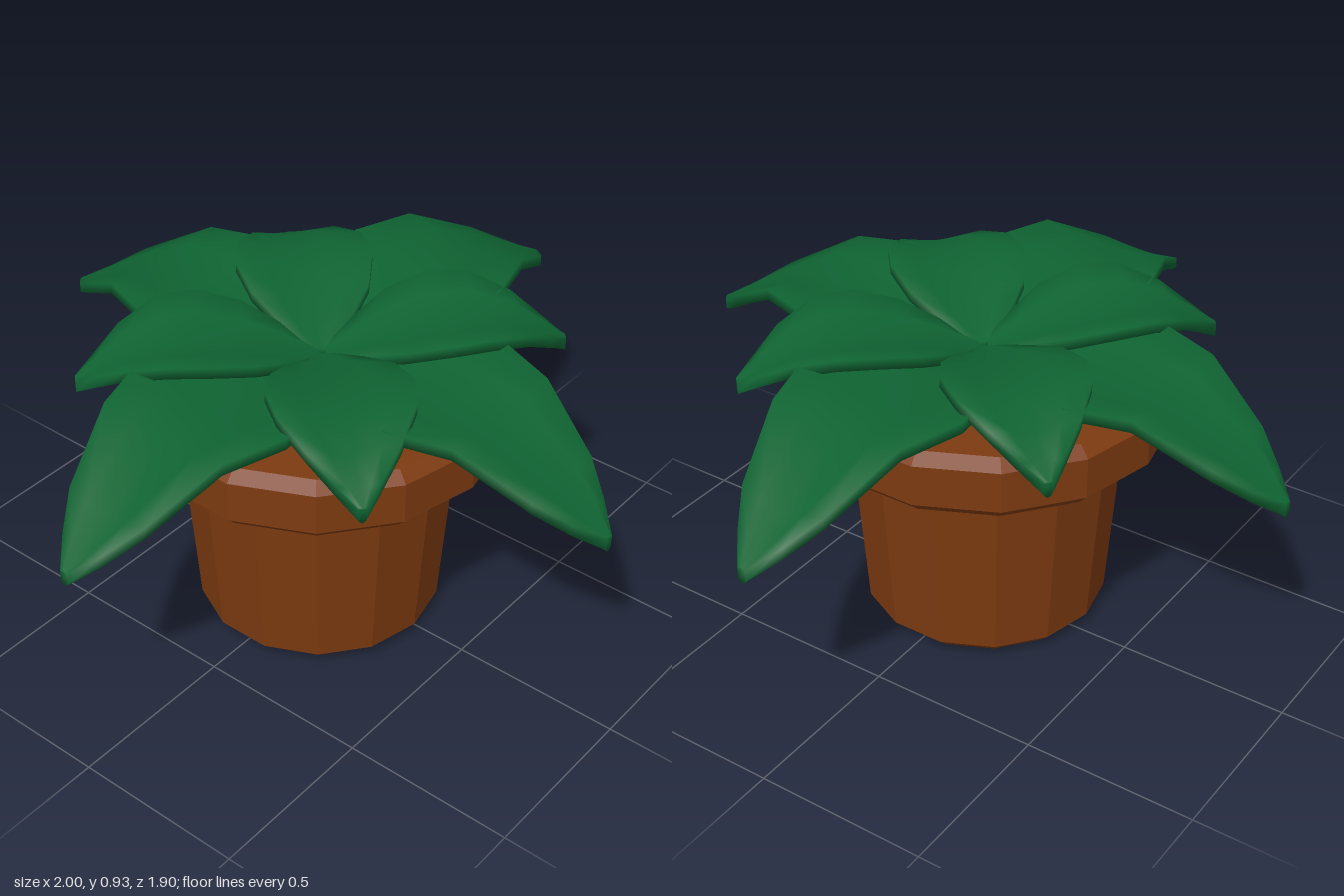
import * as THREE from 'three';

const CENTER_X = -0.02;

// Faceted pot: lathe profile from the underside to the flat top inside the rim
function potGeometry() {
  const profile = [
    [0, 0], [0.315, 0], [0.352, 0.035], [0.39, 0.55], [0.42, 0.585],
    [0.49, 0.585], [0.526, 0.62], [0.526, 0.74], [0.49, 0.768], [0, 0.768],
  ].map(([r, y]) => new THREE.Vector2(r, y));
  const geometry = new THREE.LatheGeometry(profile, 14).toNonIndexed();
  geometry.computeVertexNormals();
  return geometry;
}

// Leaf along +x, lofted through stations [distance, half width, height].
// Its blade folds up slightly on both sides of the midrib.
function leafGeometry(stations, fold, thickness) {
  const across = [-1, -0.55, 0, 0.55, 1];
  const ring = [
    ...across.map((u) => [u, 0.5]),
    ...across.map((u) => [-u, -0.5]),
  ];
  const n = ring.length;
  const positions = [];
  const index = [];
  const widest = Math.max(...stations.map((s) => s[1]));

  for (const [x, w, y] of stations) {
    for (const [u, side] of ring) {
      const lift = fold * (w / widest) * Math.abs(u) ** 1.4;
      const thick = thickness * (1 - 0.35 * u * u);
      positions.push(x, y + lift + side * thick, u * w);
    }
  }
  for (let i = 0; i < stations.length - 1; i++) {
    for (let j = 0; j < n; j++) {
      const a = i * n + j;
      const c = i * n + ((j + 1) % n);
      index.push(a, c, a + n, a + n, c, c + n);
    }
  }
  // End caps
  const last = (stations.length - 1) * n;
  for (let j = 1; j < n - 1; j++) {
    index.push(0, j + 1, j, last, last + j, last + j + 1);
  }
  const geometry = new THREE.BufferGeometry();
  geometry.setAttribute('position', new THREE.Float32BufferAttribute(positions, 3));
  geometry.setIndex(index);
  geometry.computeVertexNormals();
  return geometry;
}

export function createModel() {
  const terracotta = new THREE.MeshStandardMaterial({ color: 0x7c3a10 });
  terracotta.name = 'terracotta';
  const leafGreen = new THREE.MeshStandardMaterial({ color: 0x0f6332 });
  leafGreen.name = 'leafGreen';

  const model = new THREE.Group();
  model.name = 'pottedPlant';

  const pot = new THREE.Mesh(potGeometry(), terracotta);
  pot.name = 'pot';
  pot.position.x = CENTER_X - 0.01;
  model.add(pot);

  // Four leaves, a quarter turn apart, each with its own length factor
  const addLeaves = (name, geometry, startDegrees, lengths) => {
    const whorl = new THREE.Group();
    whorl.name = name + 's';
    whorl.position.x = CENTER_X;
    lengths.forEach((length, k) => {
      const leaf = new THREE.Mesh(geometry, leafGreen);
      leaf.name = name;
      leaf.rotation.y = THREE.MathUtils.degToRad(startDegrees + 90 * k);
      leaf.scale.x = length;
      whorl.add(leaf);
    });
    model.add(whorl);
  };

  // Long drooping outer leaves
  const outer = leafGeometry([
    [0.02, 0.07, 0.77], [0.15, 0.17, 0.815], [0.3, 0.235, 0.832], [0.45, 0.26, 0.835],
    [0.63, 0.205, 0.84], [0.84, 0.13, 0.74], [0.93, 0.07, 0.69], [1.0, 0.012, 0.655],
  ], 0.05, 0.05);
  addLeaves('outerLeaf', outer, -1, [1.02, 0.95, 0.98, 0.95]);

  // Short raised inner leaves
  const inner = leafGeometry([
    [0.01, 0.03, 0.8], [0.1, 0.1, 0.825], [0.2, 0.165, 0.85], [0.32, 0.195, 0.872],
    [0.43, 0.18, 0.875], [0.54, 0.12, 0.85], [0.62, 0.055, 0.81], [0.67, 0.012, 0.785],
  ], 0.045, 0.05);
  addLeaves('innerLeaf', inner, 48, [1, 1, 1, 1.02]);

  return model;
}
